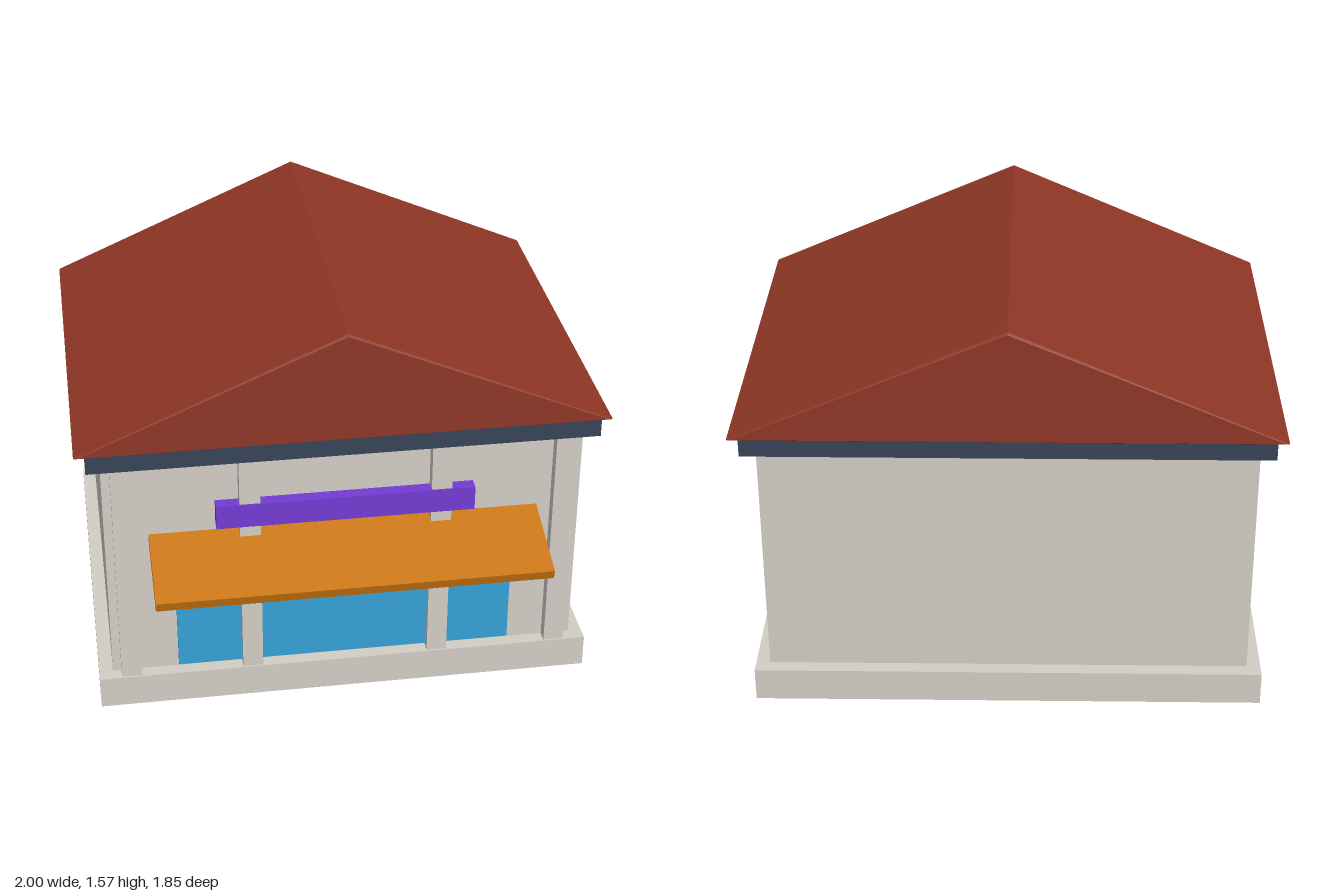
import * as THREE from 'three';

const material = (name, color) => {
  const m = new THREE.MeshStandardMaterial({ color });
  m.name = name;
  return m;
};

export function createModel() {
  const shop = new THREE.Group();
  shop.name = 'shop';
  const stone = material('stone', 0xd3cec5);
  const roofRed = material('roofRed', 0x8f3625);
  const slate = material('slate', 0x374358);
  const glass = material('glass', 0x36a2d8);
  const orange = material('orange', 0xcb750f);
  const purple = material('purple', 0x733cd4);

  // Box given by its min and max on each axis
  function box(name, mat, [x0, x1], [y0, y1], [z0, z1]) {
    const mesh = new THREE.Mesh(new THREE.BoxGeometry(x1 - x0, y1 - y0, z1 - z0), mat);
    mesh.position.set((x0 + x1) / 2, (y0 + y1) / 2, (z0 + z1) / 2);
    mesh.name = name;
    shop.add(mesh);
    return mesh;
  }

  // Building shell
  box('plinth', stone, [-0.96, 0.96], [0, 0.13], [-0.905, 0.652]);
  box('walls', stone, [-0.907, 0.907], [0.13, 1.062], [-0.85, 0.6]);
  box('cornice', slate, [-0.96, 0.96], [1.062, 1.137], [-0.905, 0.652]);

  // Front pilasters, mirrored
  for (const side of [-1, 1]) {
    for (const [label, x] of [['outer', 0.835], ['inner', 0.363]]) {
      const cx = side * x;
      box(label + 'Pilaster', stone, [cx - 0.039, cx + 0.039], [0.13, 1.062], [0.59, 0.645]);
    }
  }

  // Shop front
  box('window', glass, [-0.65, 0.65], [0.148, 0.69], [0.59, 0.622]);
  box('signBoard', purple, [-0.49, 0.49], [0.78, 0.877], [0.6, 0.65]);

  // Sloping awning
  const awning = box('awning', orange, [-0.742, 0.742], [0.666, 0.706], [0.565, 0.925]);
  awning.rotation.x = 0.28;

  // Gable roof with softened ends
  const bevel = 0.01;
  const gable = new THREE.Shape();
  gable.moveTo(-1, 1.135);
  gable.lineTo(1, 1.135);
  gable.lineTo(0, 1.57);
  gable.closePath();
  const roof = new THREE.Mesh(new THREE.ExtrudeGeometry(gable, {
    depth: 1.585 - 2 * bevel, bevelEnabled: true, bevelThickness: bevel,
    bevelSize: bevel, bevelOffset: -bevel, bevelSegments: 2,
  }), roofRed);
  roof.position.z = -0.922 + bevel;
  roof.name = 'roof';
  shop.add(roof);

  return shop;
}
